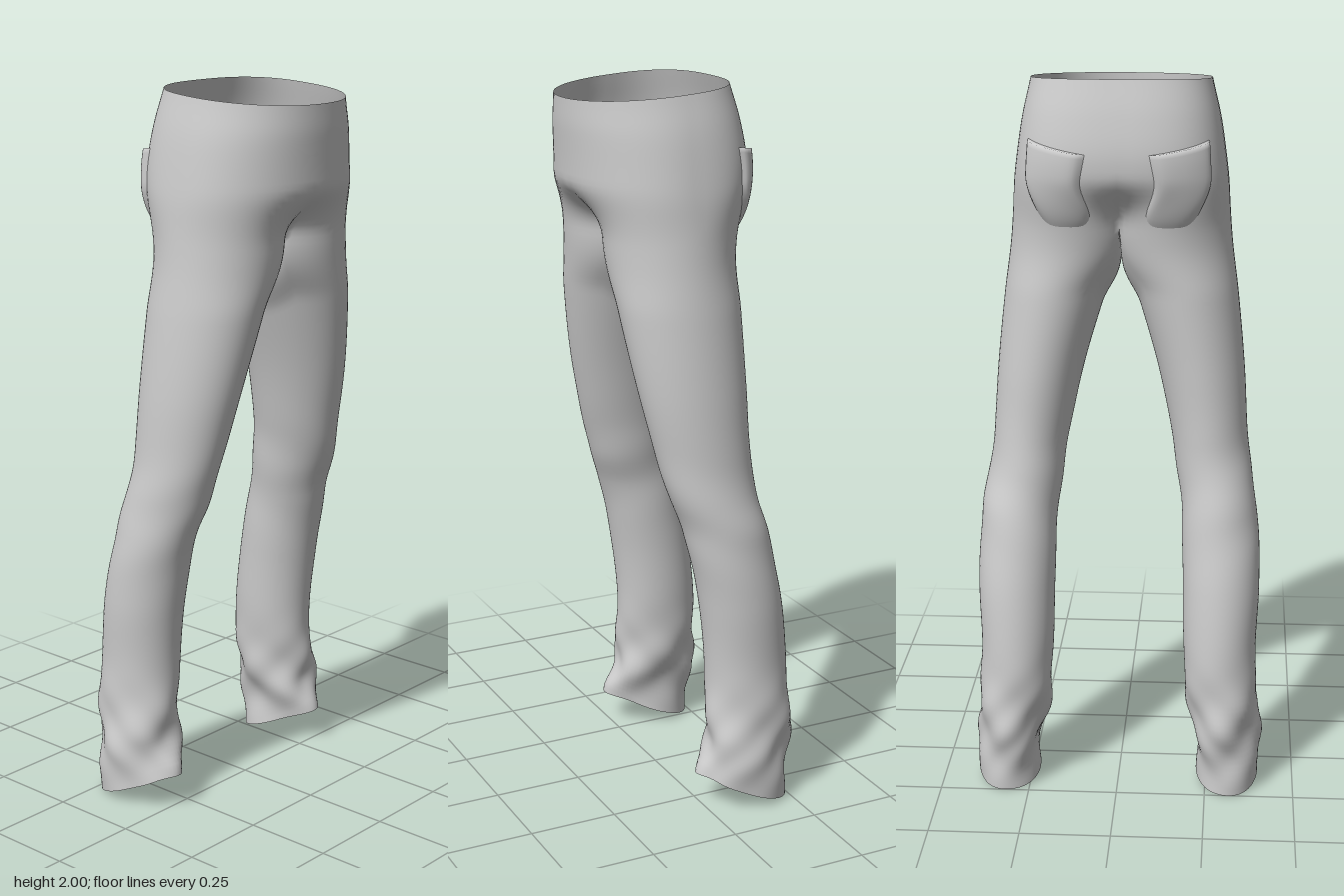
import * as THREE from 'three';
import { mergeVertices } from 'three/addons/utils/BufferGeometryUtils.js';

const { lerp, smoothstep } = THREE.MathUtils;
const OUT = 44, IN = 16;                    // steps round the outer and inner leg
const START = -50 * Math.PI / 180, SWEEP = 280 * Math.PI / 180;

// Pelvis sections: height, half width, front z, back z
const PELVIS = [
  [1.55, 0.30, 0.26, -0.19], [1.7, 0.292, 0.262, -0.205], [1.8, 0.28, 0.265, -0.212],
  [1.9, 0.264, 0.27, -0.195], [2.0, 0.243, 0.27, -0.165],
];
// Leg sections: height, inner x, outer x, front z, back z
const LEG = [
  [0, 0.222, 0.402, -0.01, -0.25], [0.1, 0.228, 0.4, 0.012, -0.258], [0.2, 0.203, 0.4, -0.015, -0.264],
  [0.4, 0.185, 0.387, -0.022, -0.26], [0.6, 0.18, 0.394, -0.002, -0.237], [0.8, 0.173, 0.385, 0.04, -0.195],
  [0.9, 0.16, 0.368, 0.078, -0.172], [1.0, 0.145, 0.355, 0.105, -0.157], [1.2, 0.102, 0.342, 0.15, -0.154],
  [1.4, 0.043, 0.322, 0.183, -0.154], [1.53, 0, 0.305, 0.197, -0.154], [1.62, 0, 0.297, 0.203, -0.165],
  [1.8, 0, 0.285, 0.21, -0.2],
];

// Smooth lookup of a section table at height y
function sample(table, y) {
  let i = 0;
  while (i < table.length - 2 && y > table[i + 1][0]) i++;
  const a = table[i], b = table[i + 1], p = table[Math.max(i - 1, 0)], n = table[Math.min(i + 2, table.length - 1)];
  const h = b[0] - a[0], t = Math.min(Math.max((y - a[0]) / h, 0), 1), t2 = t * t, t3 = t2 * t;
  return a.slice(1).map((v, k) => {
    const w = b[k + 1];
    const m0 = (w - p[k + 1]) / (b[0] - p[0]) * h, m1 = (n[k + 1] - v) / (n[0] - a[0]) * h;
    return (2 * t3 - 3 * t2 + 1) * v + (t3 - 2 * t2 + t) * m0 + (3 * t2 - 2 * t3) * w + (t3 - t2) * m1;
  });
}

// Point on a leg; u is the position along the inner arc (0 on the outer one)
function legPoint(theta, row, u, side) {
  const dip = 0.07 * Math.sin(Math.PI * u) * smoothstep(row, 1.1, 1.6);
  const hem = 0.1 * Math.pow((1 + Math.cos(theta)) / 2, 1.4) * (1 - smoothstep(row, 0, 0.35));
  const y = row - dip + hem;
  const [xi, xo, zf, zb] = sample(LEG, y);
  const rx = (xo - xi) / 2, rz = (zf - zb) / 2, cx = (xo + xi) / 2, cz = (zf + zb) / 2;
  // Cloth folds at the ankle and fainter ones at the knee
  const ankle = Math.exp(-(((y - 0.17) / 0.13) ** 2)), knee = Math.exp(-(((y - 0.85) / 0.15) ** 2));
  const fold = 1 + 0.085 * ankle * Math.sin(3 * theta + side * 0.5 + y * 24)
    + 0.03 * ankle * Math.sin(5 * theta - y * 40) + 0.022 * knee * Math.sin(2 * theta + y * 26 + side);
  let x = cx + rx * Math.sin(theta) * fold;
  const z = cz + rz * Math.cos(theta) * fold;
  // Flatten the inner side on to the centre seam near the crotch
  const k = smoothstep(row, 1.42, 1.6);
  const edge = cx + rx * Math.sin(START);
  const clamped = Math.max(0, (x - edge) * xo / (xo - edge));
  x = lerp(x, clamped, k);
  if (row >= 1.6 && (u > 0 || theta <= START + 1e-6)) x = 0;
  return new THREE.Vector3(x, y, z);
}

// Point on the left half of the pelvis; s runs from front centre to back centre
function pelvisPoint(s, row) {
  const [w, zf, zb] = sample(PELVIS, row);
  const a = Math.PI * s, back = s > 0.5, e = 2 / (back ? 2.7 : 2.1), mid = 0.03;
  const sin = Math.max(Math.sin(a), 0), cos = Math.abs(Math.cos(a));
  const x = w * Math.pow(sin, e);
  const z = mid + (back ? zb - mid : zf - mid) * Math.pow(cos, e);
  const p = new THREE.Vector3(x, row - 0.035 * (z + 0.165) / 0.435 * smoothstep(row, 1.85, 2), z);
  p.lerp(legPoint(START + SWEEP * s, row, 0, 1), 1 - smoothstep(row, 1.6, 1.75));
  if (s === 0 || s === 1) p.x = 0;
  return p;
}

// Adds the quads between rows of points, mirrored to the right when side is -1
function addRows(out, rows, closed, side) {
  const put = (...pts) => {
    if (side < 0) pts.reverse();
    for (const p of pts) out.push(p.x * side, p.y, p.z);
  };
  for (let i = 0; i + 1 < rows.length; i++) {
    const n = rows[i].length;
    for (let j = 0; j < (closed ? n : n - 1); j++) {
      const a = rows[i][j], b = rows[i][(j + 1) % n], c = rows[i + 1][j], d = rows[i + 1][(j + 1) % n];
      put(a, c, b);
      put(b, c, d);
    }
  }
}

function smoothMesh(name, positions, material) {
  let g = new THREE.BufferGeometry();
  g.setAttribute('position', new THREE.Float32BufferAttribute(positions, 3));
  g = mergeVertices(g, 1e-4);
  g.computeVertexNormals();
  const mesh = new THREE.Mesh(g, material);
  mesh.name = name;
  return mesh;
}

// Patch pocket that follows the seat
function pocketRows() {
  const rows = [], V = 16, U = 18;
  for (let i = -1; i <= V; i++) {
    const v = Math.max(i, 0) / V, row = [];
    for (let j = 0; j <= U; j++) {
      const u = j / U, c = 2 * u - 1;
      const s = lerp(0.69, 0.94, 0.5 + c * 0.5 * (1 - 0.22 * v));
      const top = lerp(1.84, 1.81, u), bottom = 1.605 + 0.045 * c ** 4;
      const y = lerp(top, bottom, v);
      const p = pelvisPoint(s, y);
      const d = pelvisPoint(s + 0.01, y).sub(pelvisPoint(s - 0.01, y));
      const normal = new THREE.Vector3(-d.z, 0, d.x).normalize();
      const lift = i < 0 ? -0.003 : 0.019 * (1 - c ** 8) * (1 - v ** 6) - 0.003;
      row.push(p.addScaledVector(normal, lift));
    }
    rows.push(row);
  }
  return rows;
}

export function createModel() {
  const group = new THREE.Group();
  group.name = 'trousers';
  const cloth = new THREE.MeshStandardMaterial({ color: 0xcccccc, side: THREE.DoubleSide });

  // Pelvis and both legs as one open, seamless shell
  const shell = [];
  for (const side of [1, -1]) {
    const pelvis = [], leg = [];
    for (let i = 0; i <= 24; i++) {
      const row = i === 24 ? 1.6 : lerp(2, 1.6, i / 24);
      pelvis.push(Array.from({ length: OUT + 1 }, (_, j) => pelvisPoint(j / OUT, row)));
    }
    for (let i = 0; i <= 90; i++) {
      const row = lerp(1.6, 0, i / 90), ring = [];
      for (let j = 0; j < OUT + IN; j++) {
        const u = Math.max(0, (j - OUT) / IN);
        const theta = j <= OUT ? START + SWEEP * j / OUT : START + SWEEP + (2 * Math.PI - SWEEP) * u;
        const p = legPoint(theta, row, u, side);
        if (i === 0 && j === OUT) p.x = 0;
        ring.push(p);
      }
      leg.push(ring);
    }
    addRows(shell, pelvis, false, side);
    addRows(shell, leg, true, side);
  }
  group.add(smoothMesh('waistAndLegs', shell, cloth));

  // Back pockets
  for (const [name, side] of [['leftBackPocket', 1], ['rightBackPocket', -1]]) {
    const positions = [];
    addRows(positions, pocketRows(), false, side);
    group.add(smoothMesh(name, positions, cloth));
  }
  return group;
}
